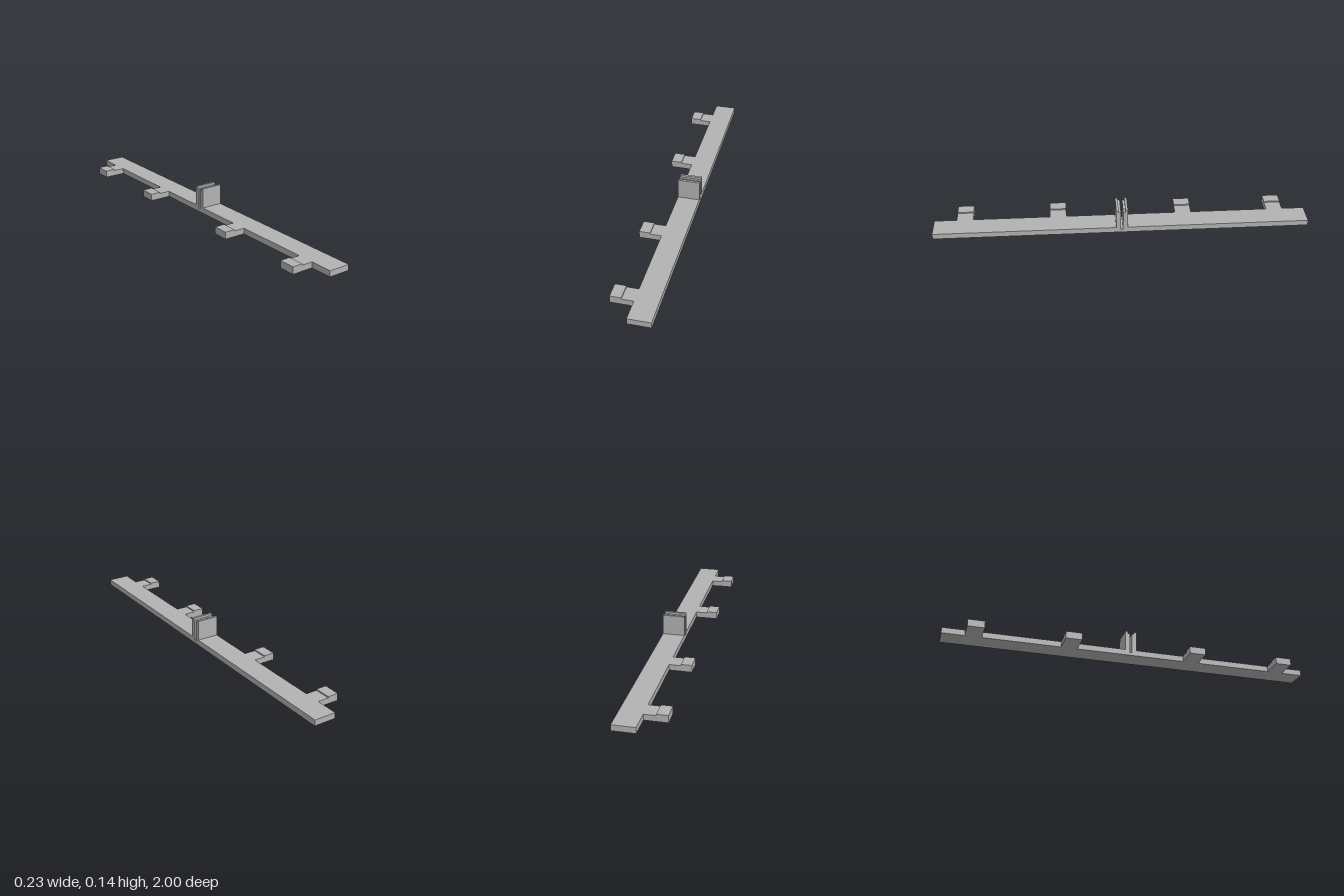
import * as THREE from 'three';

const extrude = (points, depth) => new THREE.ExtrudeGeometry(
  new THREE.Shape(points.map(([x, y]) => new THREE.Vector2(x, y))),
  { depth, bevelEnabled: false }
);

export function createModel() {
  const model = new THREE.Group();
  const grey = new THREE.MeshStandardMaterial({ color: 0xb2b2b2 });
  const width = 0.117, thickness = 0.031;

  // Long strip with a slotted clip: half of the side profile (z, y), mirrored
  const half = [
    [1, 0], [1, thickness], [0.031, thickness], [0.031, 0.14],
    [0.018, 0.14], [0.018, 0.128], [0.006, 0.128], [0.006, 0.016],
  ];
  const mirrored = half.map(([z, y]) => [-z, y]).reverse();
  const stripGeometry = extrude([...half, ...mirrored], width);
  stripGeometry.rotateY(-Math.PI / 2).translate(width, 0, 0);
  const strip = new THREE.Mesh(stripGeometry, grey);
  strip.name = 'stripWithClip';
  model.add(strip);

  // Side tabs with a raised outer lip
  const tabWidth = 0.087;
  const tabGeometry = extrude([
    [0, 0], [0, thickness], [-0.06, thickness],
    [-0.06, 0.038], [-width, 0.038], [-width, 0],
  ], tabWidth);
  tabGeometry.translate(0, 0, -tabWidth / 2);
  for (const z of [-0.838, -0.338, 0.338, 0.838]) {
    const tab = new THREE.Mesh(tabGeometry, grey);
    tab.name = 'sideTab';
    tab.position.z = z;
    model.add(tab);
  }
  return model;
}
